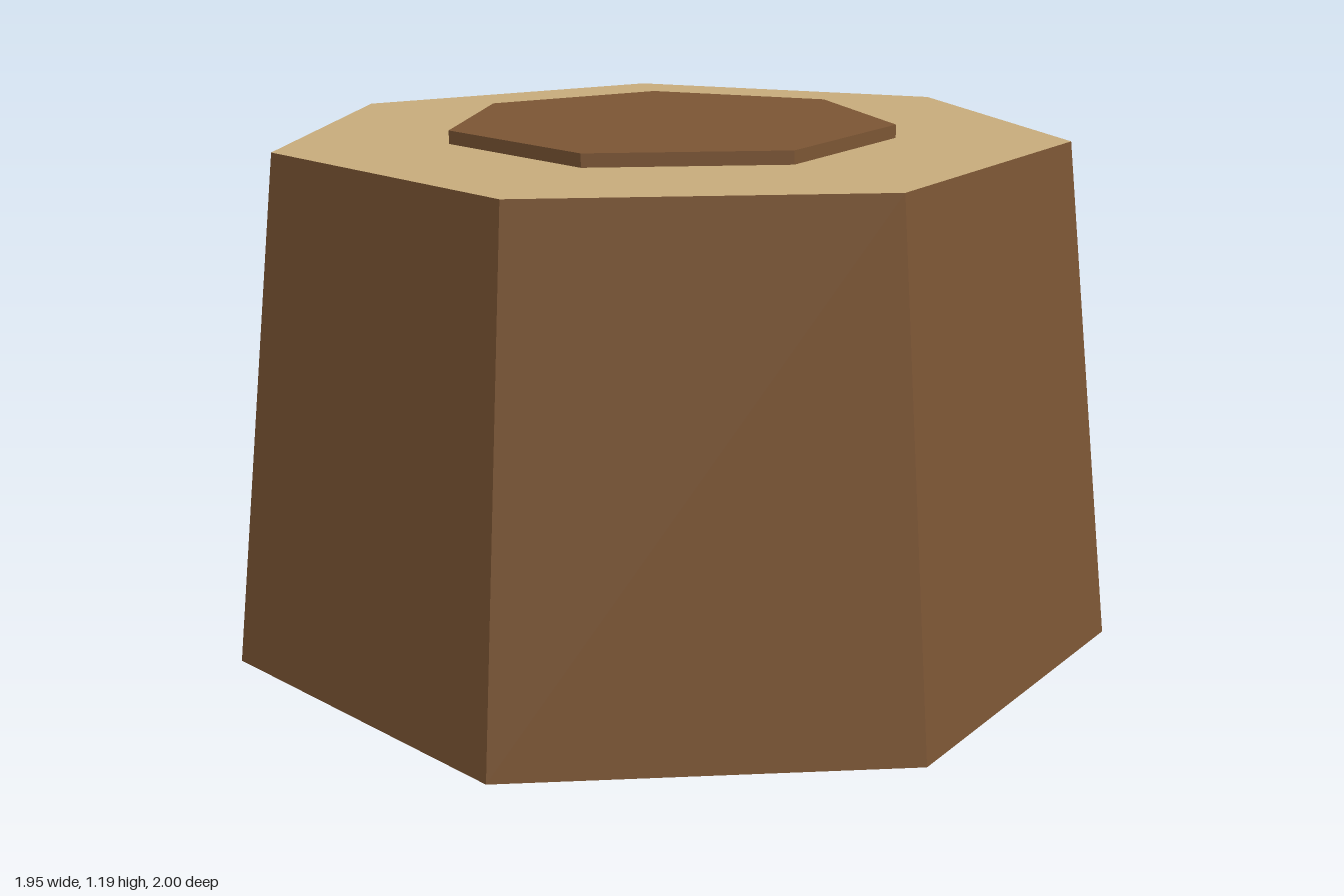
import * as THREE from 'three';

const SIDES = 7;

// Seven-sided frustum with one corner pointing to +x, standing on y = base
function heptagon(name, topRadius, bottomRadius, base, height, materials) {
  const geometry = new THREE.CylinderGeometry(
    topRadius, bottomRadius, height, SIDES, 1, false, Math.PI / 2);
  geometry.translate(0, base + height / 2, 0);
  const mesh = new THREE.Mesh(geometry, materials);
  mesh.name = name;
  return mesh;
}

export function createModel() {
  const bark = new THREE.MeshStandardMaterial({ color: 0x7b5534, flatShading: true });
  bark.name = 'bark brown';
  const wood = new THREE.MeshStandardMaterial({ color: 0xc6ab7b, flatShading: true });
  wood.name = 'cut wood tan';

  const model = new THREE.Group();
  model.name = 'treeStump';

  // Tapered trunk: bark sides, pale cut top, bark underside
  model.add(heptagon('trunk', 0.903, 1.026, 0, 1.16, [bark, wood, bark]));

  // Raised dark heartwood in the middle of the cut
  model.add(heptagon('heartwood', 0.513, 0.513, 1.15, 0.04, bark));

  // An odd-sided outline is lopsided in x, so shift it to centre its bounds
  for (const part of model.children) part.position.x = -0.051;
  return model;
}
